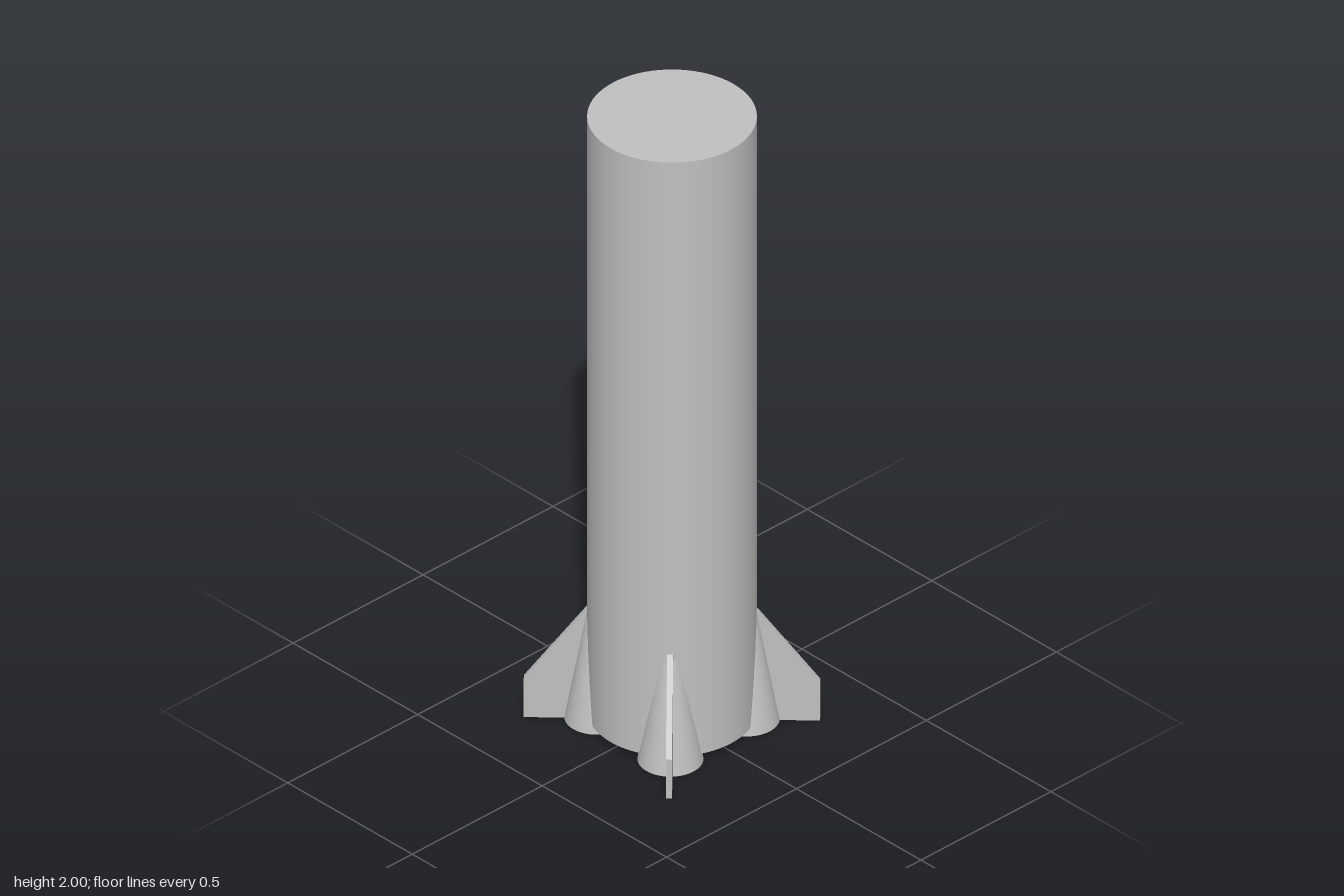
import * as THREE from 'three';

export function createModel() {
  const model = new THREE.Group();
  model.name = 'rocketBooster';
  const grey = new THREE.MeshStandardMaterial({ color: 0xc0c0c0 });
  grey.name = 'plain grey';

  function add(geometry, name, parent) {
    const mesh = new THREE.Mesh(geometry, grey);
    mesh.name = name;
    parent.add(mesh);
    return mesh;
  }

  // Main tube, raised slightly above the fairing bases
  const R = 0.236, bottom = 0.025, top = 2;
  add(new THREE.CylinderGeometry(R, R, top - bottom, 72), 'body', model)
    .position.y = (top + bottom) / 2;

  // Conical engine fairing, its tip sunk into the tube
  const coneHeight = 0.52;
  const cone = new THREE.ConeGeometry(0.092, coneHeight, 64);
  cone.translate(0.208, coneHeight / 2, 0);

  // Swept fin, its root sunk into the tube
  const thickness = 0.017;
  const outline = new THREE.Shape([
    new THREE.Vector2(0.2, 0.001),
    new THREE.Vector2(0.412, 0.001),
    new THREE.Vector2(0.412, 0.13),
    new THREE.Vector2(0.236, 0.365),
    new THREE.Vector2(0.2, 0.365),
  ]);
  const fin = new THREE.ExtrudeGeometry(outline, { depth: thickness, bevelEnabled: false });
  fin.translate(0, 0, -thickness / 2);

  // Four fairings with fins on the diagonals
  for (let i = 0; i < 4; i++) {
    const unit = new THREE.Group();
    unit.name = 'tailUnit' + (i + 1);
    add(cone, 'engineFairing', unit);
    add(fin, 'fin', unit);
    unit.rotation.y = Math.PI / 4 + (i * Math.PI) / 2;
    model.add(unit);
  }
  return model;
}
